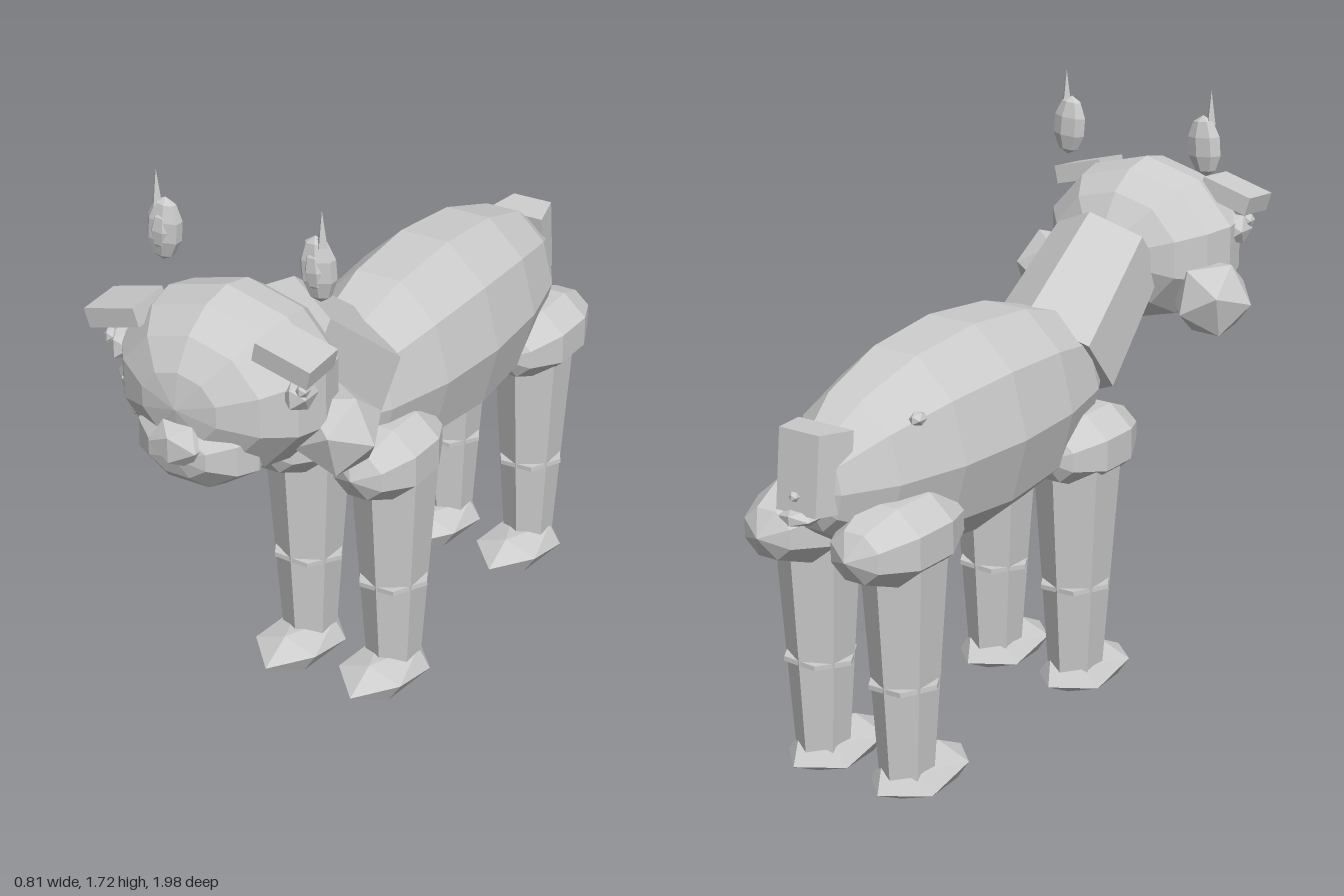
import * as THREE from 'three';

export function createModel() {
  const root = new THREE.Group();
  const clay = new THREE.MeshStandardMaterial({ color: 0xcccccc, flatShading: true });
  clay.name = 'pale grey';

  function add(name, geo, pos, rot = [0, 0, 0], parent = root) {
    const m = new THREE.Mesh(geo, clay);
    m.name = name;
    m.position.set(...pos);
    m.rotation.set(...rot);
    parent.add(m);
    return m;
  }
  // Faceted ellipsoid whose poles lie on the z axis
  const blob = (rx, ry, rz, seg, rings, twist = 0) =>
    new THREE.SphereGeometry(1, seg, rings).rotateX(Math.PI / 2).rotateZ(twist).scale(rx, ry, rz);
  const gem = (rx, ry, rz) => new THREE.IcosahedronGeometry(1, 0).scale(rx, ry, rz);

  // Torso and neck
  add('body', blob(0.25, 0.315, 0.66, 10, 8), [0, 0.93, -0.28]);
  add('neck', new THREE.CylinderGeometry(0.17, 0.2, 0.4, 6), [0, 1.122, 0.357], [0.873, 0, 0]);
  add('backWart', gem(0.022, 0.02, 0.03), [-0.165, 1.085, -0.655]);

  // Tail: a tapered block with a small tuft under it
  const tail = new THREE.BoxGeometry(0.13, 0.22, 0.11);
  const p = tail.attributes.position;
  for (let i = 0; i < p.count; i++) if (p.getZ(i) > 0) p.setX(i, p.getX(i) * 1.4);
  add('tail', tail, [0, 0.985, -0.895], [0.1, 0, 0]);
  add('tailTuft', gem(0.06, 0.025, 0.06), [0, 0.87, -0.94]);
  add('tailBump', gem(0.015, 0.015, 0.015), [0, 0.93, -0.965]);

  // Head, muzzle and nose
  add('head', blob(0.31, 0.25, 0.245, 10, 8, Math.PI / 10), [0, 1.235, 0.71]);
  add('muzzle', blob(0.19, 0.125, 0.13, 8, 6, Math.PI / 8), [0, 1.105, 0.84]);
  add('nose', gem(0.085, 0.068, 0.055), [0, 1.135, 0.945]);

  for (const s of [1, -1]) {
    // Face parts on each side
    add('cheek', gem(0.125, 0.125, 0.125), [s * 0.28, 1.11, 0.635], [0.3, s * 0.4, 0]);
    add('brow', new THREE.BoxGeometry(0.165, 0.055, 0.13), [s * 0.258, 1.39, 0.795], [0.08, 0, -s * 0.26]);
    add('eye', gem(0.042, 0.05, 0.06), [s * 0.27, 1.285, 0.79]);
    add('pupil', gem(0.018, 0.022, 0.025), [s * 0.295, 1.31, 0.815]);

    // Raised ear with an inner plate and a pointed tip
    const ear = new THREE.Group();
    ear.name = 'ear';
    ear.position.set(s * 0.235, 1.56, 0.648);
    root.add(ear);
    add('earShell', new THREE.SphereGeometry(1, 7, 5).scale(0.055, 0.09, 0.032), [0, 0, 0], [0, 0, s * 0.08], ear);
    add('innerEar', new THREE.SphereGeometry(1, 6, 4).scale(0.032, 0.055, 0.02), [0, 0, 0.016], [0, 0, s * 0.08], ear);
    add('earTip', new THREE.ConeGeometry(0.016, 0.1, 4), [s * 0.016, 0.115, 0.005], [0, 0, 0], ear);

    // Front and back legs
    for (const [label, z, bulbZ, bulbR, footZ, thick] of [
      ['front', 0.125, 0.155, 0.205, 0.175, 1],
      ['back', -0.7, -0.72, 0.23, -0.64, 0.95],
    ]) {
      const x = s * 0.145;
      add(label + 'Haunch', blob(0.143, 0.125, bulbR, 8, 5, Math.PI / 8), [x, 0.775, bulbZ]);
      add(label + 'Leg', new THREE.CylinderGeometry(0.128 * thick, 0.08 * thick, 0.68, 6), [x, 0.42, z]);
      add(label + 'LegJoint', new THREE.CylinderGeometry(0.112 * thick, 0.112 * thick, 0.014, 6),
        [x, 0.355, z], [0, Math.PI / 6, 0.04 * s]);
      const foot = gem(1, 1, 1);
      foot.rotateX(-0.5536);
      foot.scale(0.122, 0.06, 0.19);
      add(label + 'Foot', foot, [x, 0.06, footZ]);
    }
  }
  return root;
}
